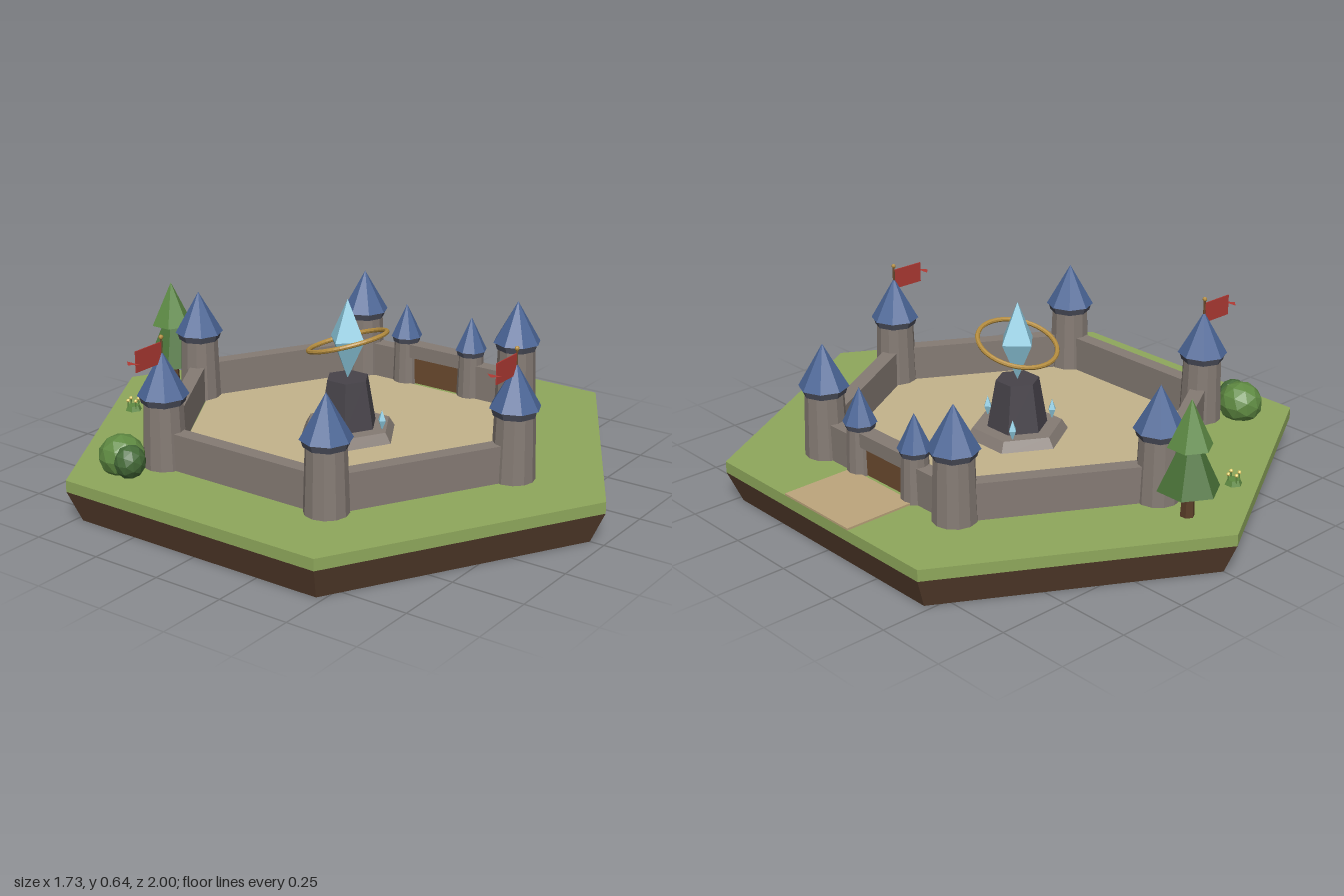
import * as THREE from 'three';

const mat = (color, side = THREE.FrontSide) => new THREE.MeshStandardMaterial({ color, flatShading: true, side });
const M = {
  grass: mat(0x8fa85c), dirt: mat(0x5c4230), sand: mat(0xc4b48c), path: mat(0xbda67c),
  stone: mat(0x857b74), stoneDark: mat(0x6c6763), collar: mat(0x4c4f5c), roof: mat(0x4a6596),
  wood: mat(0x6b4a2e), plinth: mat(0x47434a), crystal: mat(0x8fcbe0), gold: mat(0xb58d3f),
  flag: mat(0xb03a34, THREE.DoubleSide), pine: mat(0x4a7238), pineLight: mat(0x5d8a44),
  bush: mat(0x5f8a42), bushDark: mat(0x456b38), trunk: mat(0x5a3d28), petal: mat(0xe6cf6a),
};

function add(parent, name, geometry, material, x = 0, y = 0, z = 0) {
  const mesh = new THREE.Mesh(geometry, material);
  mesh.name = name;
  mesh.position.set(x, y, z);
  parent.add(mesh);
  return mesh;
}

// Prism or frustum standing between heights y0 and y1
function prism(parent, name, material, rBottom, rTop, y0, y1, sides, x = 0, z = 0) {
  const geometry = new THREE.CylinderGeometry(rTop, rBottom, y1 - y0, sides);
  return add(parent, name, geometry, material, x, (y0 + y1) / 2, z);
}

function group(parent, name, x = 0, z = 0) {
  const g = new THREE.Group();
  g.name = name;
  g.position.set(x, 0, z);
  parent.add(g);
  return g;
}

// Round tower with collar and pointed roof
function tower(parent, name, x, z, r, collarY, roofY, topY) {
  const g = group(parent, name, x, z);
  prism(g, 'towerBody', M.stone, r, r * 0.9, 0.15, collarY, 12);
  prism(g, 'towerCollar', M.collar, r * 0.98, r * 1.08, collarY, roofY, 8);
  prism(g, 'towerRoof', M.roof, r * 1.16, 0, roofY, topY, 8);
  return g;
}

// Straight wall between two ground points
function wall(parent, [x0, z0], [x1, z1]) {
  const dx = x1 - x0, dz = z1 - z0;
  const geometry = new THREE.BoxGeometry(0.053, 0.13, Math.hypot(dx, dz));
  const mesh = add(parent, 'wall', geometry, M.stone, (x0 + x1) / 2, 0.213, (z0 + z1) / 2);
  mesh.rotation.y = Math.atan2(dx, dz);
}

// Pole, banner and small flat tail
function banner(tower) {
  prism(tower, 'flagPole', M.wood, 0.004, 0.004, 0.5, 0.59, 6);
  add(tower, 'poleFinial', new THREE.SphereGeometry(0.008, 8, 6), M.gold, 0, 0.592, 0);
  add(tower, 'flag', new THREE.BoxGeometry(0.12, 0.072, 0.004), M.flag, -0.064, 0.541, 0);
  const tail = new THREE.Shape();
  tail.moveTo(-0.16, 0);
  tail.lineTo(-0.134, -0.027);
  tail.lineTo(-0.134, 0.027);
  const mesh = add(tower, 'flagTail', new THREE.ShapeGeometry(tail), M.flag, 0, 0.541, 0);
  mesh.rotation.x = Math.PI / 2;
}

// Four-sided pointed crystal
function crystal(parent, name, r, halfHeight, x, y, z) {
  add(parent, name, new THREE.OctahedronGeometry(1), M.crystal, x, y, z).scale.set(r, halfHeight, r);
}

export function createModel() {
  const model = new THREE.Group();
  model.name = 'castleTile';

  // Ground
  prism(model, 'dirtBase', M.dirt, 0.95, 1, 0, 0.11, 6);
  prism(model, 'grassTop', M.grass, 1, 1, 0.11, 0.15, 6);
  prism(model, 'courtyard', M.sand, 0.625, 0.625, 0.148, 0.155, 6);
  add(model, 'path', new THREE.BoxGeometry(0.266, 0.01, 0.326), M.path, 0.733, 0.152, 0);

  // Corner towers and walls; the +x side is left open for the gate
  const corners = [];
  for (let i = 0; i < 6; i++) {
    const a = (i * Math.PI) / 3;
    corners.push([0.66 * Math.sin(a), 0.66 * Math.cos(a)]);
  }
  corners.forEach((c, i) => {
    const t = tower(model, 'cornerTower', c[0], c[1], 0.074, 0.37, 0.395, 0.545);
    if (i === 0 || i === 4) banner(t);
    if (i !== 1) wall(model, c, corners[(i + 1) % 6]);
  });

  // Gatehouse
  const gateX = corners[1][0];
  for (const s of [-1, 1]) {
    tower(model, 'gateTower', gateX, s * 0.14, 0.05, 0.308, 0.328, 0.45);
    wall(model, [gateX, s * 0.14], [gateX, s * 0.33]);
  }
  add(model, 'gateLintel', new THREE.BoxGeometry(0.06, 0.05, 0.24), M.stone, gateX, 0.28, 0);
  add(model, 'gateDoor', new THREE.BoxGeometry(0.025, 0.105, 0.22), M.wood, gateX, 0.205, 0);

  // Shrine in the middle
  const shrine = group(model, 'shrine');
  prism(shrine, 'shrineBase', M.stone, 0.183, 0.158, 0.15, 0.19, 6);
  prism(shrine, 'shrinePlinth', M.plinth, 0.106, 0.076, 0.19, 0.358, 6);
  crystal(shrine, 'mainCrystal', 0.07, 0.141, 0, 0.496, 0);
  const ring = add(shrine, 'floatingRing', new THREE.TorusGeometry(0.138, 0.008, 8, 40), M.gold, 0, 0.488, 0);
  ring.rotation.x = 1.27;
  for (const deg of [-40, 80, 200]) {
    const a = THREE.MathUtils.degToRad(deg);
    crystal(shrine, 'smallCrystal', 0.016, 0.038, 0.13 * Math.cos(a), 0.222, 0.13 * Math.sin(a));
  }

  // Pine tree behind the wall
  const tree = group(model, 'pineTree', 0.02, -0.807);
  prism(tree, 'trunk', M.trunk, 0.024, 0.018, 0.15, 0.26, 6);
  prism(tree, 'lowerBranches', M.pine, 0.104, 0, 0.246, 0.47, 6);
  prism(tree, 'upperBranches', M.pineLight, 0.075, 0, 0.393, 0.55, 6);

  // Bushes
  const ball = new THREE.IcosahedronGeometry(1, 1);
  add(model, 'largeBush', ball, M.bush, -0.688, 0.198, -0.415).scale.set(0.077, 0.075, 0.08);
  add(model, 'smallBush', ball, M.bushDark, -0.715, 0.2, -0.355).scale.set(0.056, 0.058, 0.05);

  // Flower patch
  const patch = group(model, 'flowerPatch', -0.255, -0.76);
  prism(patch, 'flowerLeaves', M.bush, 0.03, 0.022, 0.15, 0.168, 6);
  for (let i = 0; i < 4; i++) {
    const a = (i * Math.PI) / 2 + 0.4;
    const x = 0.02 * Math.cos(a), z = 0.02 * Math.sin(a);
    prism(patch, 'flowerStem', M.bush, 0.003, 0.003, 0.16, 0.186, 5, x, z);
    add(patch, 'flower', new THREE.IcosahedronGeometry(0.007, 0), M.petal, x, 0.188, z);
  }
  return model;
}
